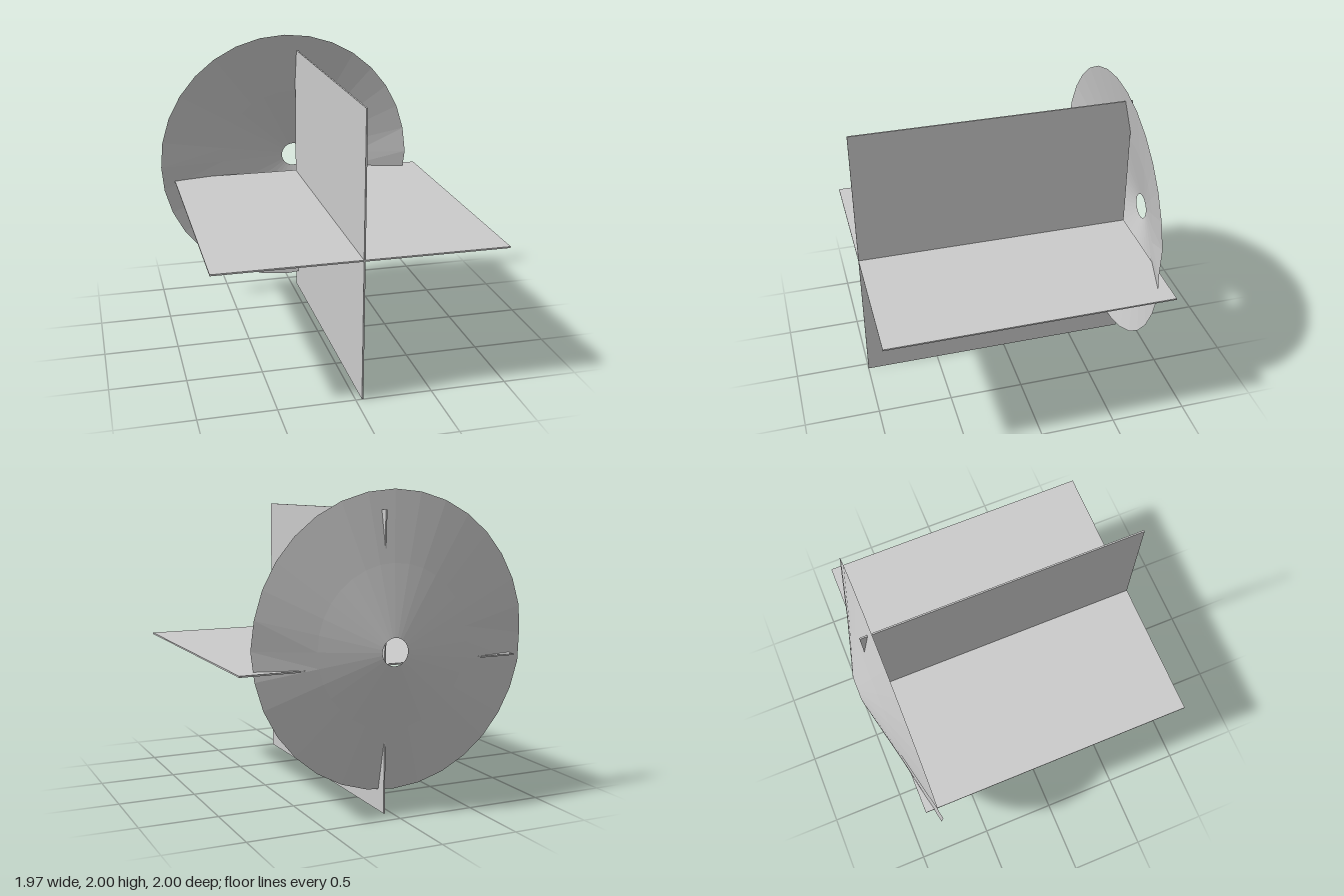
import * as THREE from 'three';

export function createModel() {
  const group = new THREE.Group();
  const grey = new THREE.MeshStandardMaterial({ color: 0xcccccc, flatShading: true });
  const thin = new THREE.MeshStandardMaterial({ color: 0xcccccc, flatShading: true, side: THREE.DoubleSide });

  // Two thin sheets crossing at right angles
  const addFin = (name, w, h, x, y) => {
    const fin = new THREE.Mesh(new THREE.BoxGeometry(w, h, 1.873), grey);
    fin.position.set(x, y, 0.0635);
    fin.name = name;
    group.add(fin);
  };
  addFin('verticalFin', 0.01, 1.875, 0.045, 0.9375);
  addFin('horizontalFin', 1.875, 0.01, 0.0475, 0.9375);

  // Shallow cone with a hole, lofted through off-centre rings
  const sides = 32;
  const rings = [
    { x: 0.045, y: 1.035, r: 0.086, z: -1 },
    { x: -0.005, y: 1.048, r: 0.51, z: -0.893 },
    { x: -0.053, y: 1.062, r: 0.936, z: -0.798 },
  ];
  const pos = [], index = [];
  rings.forEach((ring, k) => {
    for (let i = 0; i < sides; i++) {
      const a = (i / sides) * Math.PI * 2;
      // the outermost side points of the rim bend slightly forward
      const bend = k === 2 && i % (sides / 2) === 0 ? 0.015 : 0;
      pos.push(ring.x + ring.r * Math.cos(a), ring.y + ring.r * Math.sin(a), ring.z + bend);
      if (k > 0) {
        const j = (i + 1) % sides, p = (k - 1) * sides, q = k * sides;
        index.push(p + i, q + j, q + i, p + i, p + j, q + j);
      }
    }
  });
  const geo = new THREE.BufferGeometry();
  geo.setAttribute('position', new THREE.Float32BufferAttribute(pos, 3));
  geo.setIndex(index);
  geo.computeVertexNormals();
  const cone = new THREE.Mesh(geo, thin);
  cone.name = 'coneDisc';
  group.add(cone);

  return group;
}
